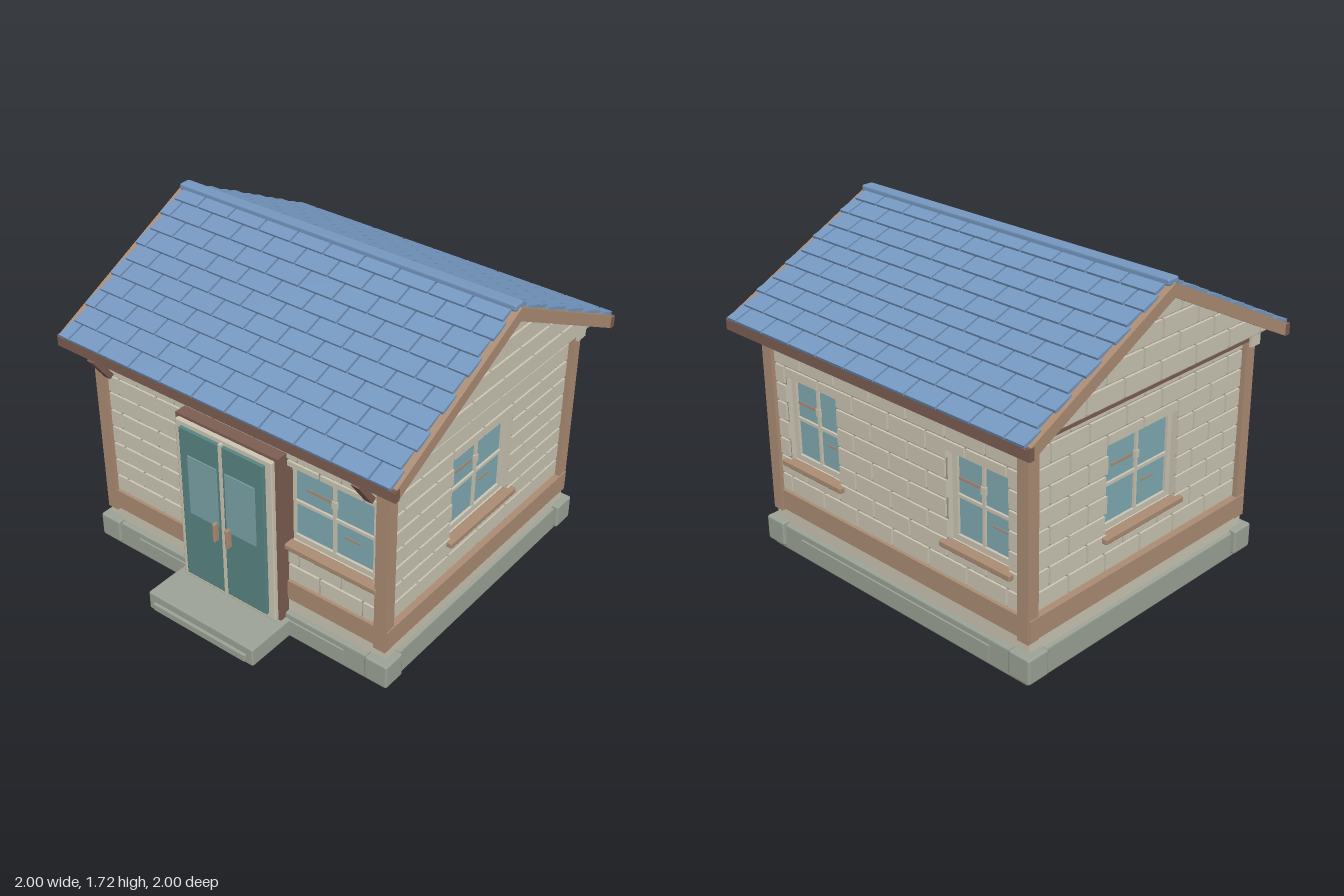
import * as THREE from 'three';
import { mergeGeometries } from 'three/addons/utils/BufferGeometryUtils.js';
import { RoundedBoxGeometry } from 'three/addons/geometries/RoundedBoxGeometry.js';

const paint = (name, color) => Object.assign(new THREE.MeshStandardMaterial({ color }), { name });

export function createModel() {
  const cream = paint('cream stone', 0xcbc5b3);
  const mortar = paint('mortar', 0xa39c8b);
  const wood = paint('light wood', 0xab8c74);
  const darkWood = paint('dark wood', 0x7c5d52);
  const stone = paint('grey stone', 0x9ca397);
  const tileBlue = paint('roof blue', 0x7597c0);
  const deepBlue = paint('roof base blue', 0x53739c);
  const teal = paint('door teal', 0x588583);
  const doorGlass = paint('door glass', 0x7ba3a8);
  const glass = paint('window glass', 0x80abb3);

  const model = new THREE.Group();
  model.name = 'cottage';
  const house = new THREE.Group();
  house.name = 'house';
  house.position.z = -0.09;
  model.add(house);

  const add = (parent, name, geo, mat) => {
    const mesh = new THREE.Mesh(geo, mat);
    mesh.name = name;
    parent.add(mesh);
    return mesh;
  };
  // Box given by its ranges, with an optional chamfer
  const boxGeo = (x0, x1, y0, y1, z0, z1, r = 0) => {
    const s = [x1 - x0, y1 - y0, z1 - z0];
    const g = r ? new RoundedBoxGeometry(...s, 1, r) : new THREE.BoxGeometry(...s);
    return g.translate((x0 + x1) / 2, (y0 + y1) / 2, (z0 + z1) / 2);
  };
  const box = (parent, name, mat, ...d) => add(parent, name, boxGeo(...d), mat);
  const group = (parent, name, angle = 0) => {
    const g = new THREE.Group();
    g.name = name;
    g.rotation.y = angle;
    parent.add(g);
    return g;
  };

  // Foundation, plinth, skirting board and corner posts
  box(house, 'foundation', stone, -0.895, 0.895, 0, 0.145, -0.8, 0.8, 0.012);
  box(house, 'plinth', cream, -0.88, 0.88, 0.14, 0.225, -0.775, 0.775);
  box(house, 'skirtingBoard', wood, -0.892, 0.892, 0.222, 0.33, -0.782, 0.782);
  for (const sx of [-1, 1]) for (const sz of [-1, 1]) {
    const block = add(house, 'foundationCorner', new RoundedBoxGeometry(0.13, 0.135, 0.13, 1, 0.012), stone);
    block.position.set(sx * 0.855, 0.0925, sz * 0.755);
    const post = add(house, 'cornerPost', new THREE.BoxGeometry(0.066, 0.96, 0.066), wood);
    post.position.set(sx * 0.853, 0.69, sz * 0.757);
  }
  for (const s of [-1, 1]) {
    add(house, 'foundationPanel', new THREE.BoxGeometry(1.32, 0.08, 0.012), stone).position.set(0, 0.07, s * 0.803);
    add(house, 'eaveTrim', new THREE.BoxGeometry(1.8, 0.065, 0.07), cream).position.set(0, 1.175, s * 0.775);
    add(house, 'gableBand', new THREE.BoxGeometry(0.06, 0.05, 1.51), darkWood).position.set(s * 0.855, 1.195, 0);
  }

  // Cuts a hole out of a rectangle [x0, x1, y0, y1] and returns the remaining pieces
  const cut = ([a, b, c, d], [p, q, r, s]) => {
    if (p >= b || q <= a || r >= d || s <= c) return [[a, b, c, d]];
    const lo = Math.max(c, r), hi = Math.min(d, s);
    return [[a, b, c, r], [a, b, s, d], [a, p, lo, hi], [q, b, lo, hi]]
      .filter(([x0, x1, y0, y1]) => x1 - x0 > 0.006 && y1 - y0 > 0.006);
  };
  // Running bond rectangles
  const bricks = (half, y0, y1, pitch = 0.1, len = 0.248, gap = 0.013) => {
    const out = [];
    for (let row = 0, y = y0; y < y1 - 0.02; row++, y += pitch) {
      const start = -Math.ceil(half / len) * len - (row % 2 ? len / 2 : 0);
      for (let x = start; x < half; x += len) {
        const a = Math.max(x, -half), b = Math.min(x + len - gap, half);
        if (b - a > 0.01) out.push([a, b, y, Math.min(y + pitch - gap, y1)]);
      }
    }
    return out;
  };

  function buildWindow(wall, face, { x, y0, y1, w }) {
    const win = group(wall, 'window');
    win.position.set(x, 0, face);
    const h = w / 2, m = (y0 + y1) / 2, f = 0.03;
    box(win, 'glass', glass, -h, h, y0, y1, -0.062, -0.054);
    for (const s of [-1, 1]) {
      add(win, 'frameSide', new THREE.BoxGeometry(f, y1 - y0 + 2 * f, 0.03), cream).position.set(s * (h + f / 2), m, -0.055);
      add(win, 'frameRail', new THREE.BoxGeometry(w, f, 0.03), cream).position.set(0, m + s * ((y1 - y0) / 2 + f / 2), -0.055);
    }
    box(win, 'uprightBar', cream, -0.008, 0.008, y0, y1, -0.055, -0.042);
    box(win, 'crossBar', cream, -h, h, m - 0.008, m + 0.008, -0.055, -0.042);
    // Small painted glints
    box(win, 'glint', wood, -0.165, -0.02, m + 0.075, m + 0.09, -0.055, -0.051);
    box(win, 'glint', wood, 0.05, 0.14, m - 0.085, m - 0.075, -0.055, -0.051);
    box(win, 'knob', cream, -0.013, 0.013, m + 0.06, m + 0.1, -0.055, -0.038);
    box(win, 'sill', wood, -h - 0.06, h + 0.06, y0 - 0.055, y0 - 0.025, -0.03, 0.028, 0.006);
  }

  // Four brick walls with recessed windows
  const win = (x, w = 0.44, y0 = 0.545, y1 = 0.945) => ({ x, w, y0, y1 });
  const walls = [
    ['frontWall', 0, 0.85, 0.77, [win(0.545, 0.45, 0.585, 0.965)]],
    ['leftWall', Math.PI / 2, 0.76, 0.86, [win(0)]],
    ['backWall', Math.PI, 0.85, 0.77, [win(-0.56, 0.32), win(0.56, 0.32)]],
    ['rightWall', -Math.PI / 2, 0.76, 0.86, [win(0)]],
  ];
  for (const [name, angle, half, face, windows] of walls) {
    const wall = group(house, name, angle);
    const holes = windows.map(v => [v.x - v.w / 2 - 0.03, v.x + v.w / 2 + 0.03, v.y0 - 0.03, v.y1 + 0.03]);
    const rect = (T, [a, b, c, d]) => new T([[a, c], [b, c], [b, d], [a, d]].map(p => new THREE.Vector2(...p)));
    const shape = rect(THREE.Shape, [-half, half, 0.2, 1.22]);
    shape.holes = holes.map(h => rect(THREE.Path, h));
    const back = new THREE.ExtrudeGeometry(shape, { depth: 0.06, bevelEnabled: false }).translate(0, 0, face - 0.072);
    add(wall, 'mortar', back, [mortar, cream]);
    let rects = bricks(half - 0.015, 0.335, 1.16);
    for (const h of holes) rects = rects.flatMap(r => cut(r, h));
    add(wall, 'bricks', mergeGeometries(rects.map(r => boxGeo(...r, face - 0.03, face))), cream);
    windows.forEach(v => buildWindow(wall, face, v));
  }

  // Double door
  const door = group(model, 'door');
  box(door, 'doorSurround', darkWood, -0.308, 0.308, 0.11, 1.06, 0.6, 0.745);
  box(door, 'doorFrame', cream, -0.292, 0.292, 0.115, 1.045, 0.7, 0.768, 0.006);
  for (const s of [-1, 1]) {
    const at = (a, b) => [Math.min(s * a, s * b), Math.max(s * a, s * b)];
    box(door, 'doorLeaf', teal, ...at(0.009, 0.255), 0.15, 1.02, 0.74, 0.785, 0.004);
    box(door, 'doorPane', doorGlass, ...at(0.025, 0.205), 0.545, 0.88, 0.782, 0.79);
    box(door, 'handle', wood, ...at(0.031, 0.049), 0.46, 0.57, 0.78, 0.815, 0.006);
  }
  box(door, 'doorMullion', cream, -0.009, 0.009, 0.14, 1.03, 0.74, 0.788);

  // Doorstep
  box(model, 'step', stone, -0.335, 0.335, 0.01, 0.115, 0.7, 0.985, 0.01);
  box(model, 'stepPanel', stone, -0.295, 0.295, 0.028, 0.07, 0.97, 1.0, 0.005);

  // Gables: a prism closed below, faced with bricks trimmed to the slope
  const SLOPE = 0.505, APEX = 1.675, FLOOR = 1.222;
  const run = (APEX - FLOOR) / SLOPE;
  const prism = new THREE.Shape([[-run, FLOOR], [run, FLOOR], [0, APEX]].map(p => new THREE.Vector2(...p)));
  const loft = new THREE.ExtrudeGeometry(prism, { depth: 1.86, bevelEnabled: false }).translate(0, 0, -0.93);
  add(house, 'gableCore', loft.rotateY(Math.PI / 2), [mortar, deepBlue]);
  const clip = (pts, side) => pts.flatMap((p, i) => {
    const q = pts[(i + 1) % pts.length];
    const f = v => APEX - v[1] - side * v[0] * SLOPE;
    const a = f(p), b = f(q), out = a >= 0 ? [p] : [];
    if (a * b < 0) out.push([p[0] + (q[0] - p[0]) * a / (a - b), p[1] + (q[1] - p[1]) * a / (a - b)]);
    return out;
  });
  const gableBricks = mergeGeometries(bricks(run, 1.236, 1.67)
    .map(([a, b, c, d]) => clip(clip([[a, c], [b, c], [b, d], [a, d]], 1), -1))
    .filter(p => p.length > 2)
    .map(p => new THREE.ExtrudeGeometry(new THREE.Shape(p.map(v => new THREE.Vector2(...v))), { depth: 0.02, bevelEnabled: false })));
  for (const s of [-1, 1]) {
    const g = group(house, 'gable', s * Math.PI / 2);
    add(g, 'gableBricks', gableBricks, cream).position.z = 0.924;
  }

  // Roof slopes with staggered tiles, bargeboards and fascia
  const pitch = Math.atan(SLOPE), length = 0.905 / Math.cos(pitch), ROWS = 10, step = length / ROWS;
  for (const turn of [0, Math.PI]) {
    const side = group(house, turn ? 'backRoof' : 'frontRoof', turn);
    const slope = group(side, 'slope');
    slope.position.y = 1.698;
    slope.rotation.x = pitch;
    box(slope, 'roofBoard', deepBlue, -0.96, 0.96, -0.03, 0, 0, length - 0.01);
    for (const s of [-1, 1]) {
      add(slope, 'bargeboard', new THREE.BoxGeometry(0.04, 0.06, length), wood).position.set(s * 0.975, -0.028, length / 2);
    }
    const tiles = [];
    for (let row = 0; row < ROWS; row++) {
      const edge = row % 2 ? 0.975 : 0.96;
      for (let x = -1.0 - (row % 2 ? 0.1 : 0); x < edge; x += 0.197) {
        const a = Math.max(x, -edge), b = Math.min(x + 0.187, edge);
        if (b - a < 0.02) continue;
        const t = boxGeo(a, b, -0.008, 0.008, -step / 2 - 0.004, step / 2);
        tiles.push(t.rotateX(-0.12).translate(0, 0.008, (row + 0.5) * step));
      }
    }
    add(slope, 'tiles', mergeGeometries(tiles), tileBlue);
    box(side, 'fascia', darkWood, -0.998, 0.998, 1.19, 1.25, 0.875, 0.905);
  }
  box(house, 'ridgeCap', tileBlue, -0.985, 0.985, 1.685, 1.722, -0.035, 0.035, 0.012);

  // Diagonal eave brackets over the front
  for (const s of [-1, 1]) {
    const brace = add(model, 'eaveBracket', new THREE.BoxGeometry(0.042, 0.17, 0.03), darkWood);
    brace.position.set(s * 0.787, 1.115, 0.75);
    brace.rotation.x = 0.62;
  }
  return model;
}
